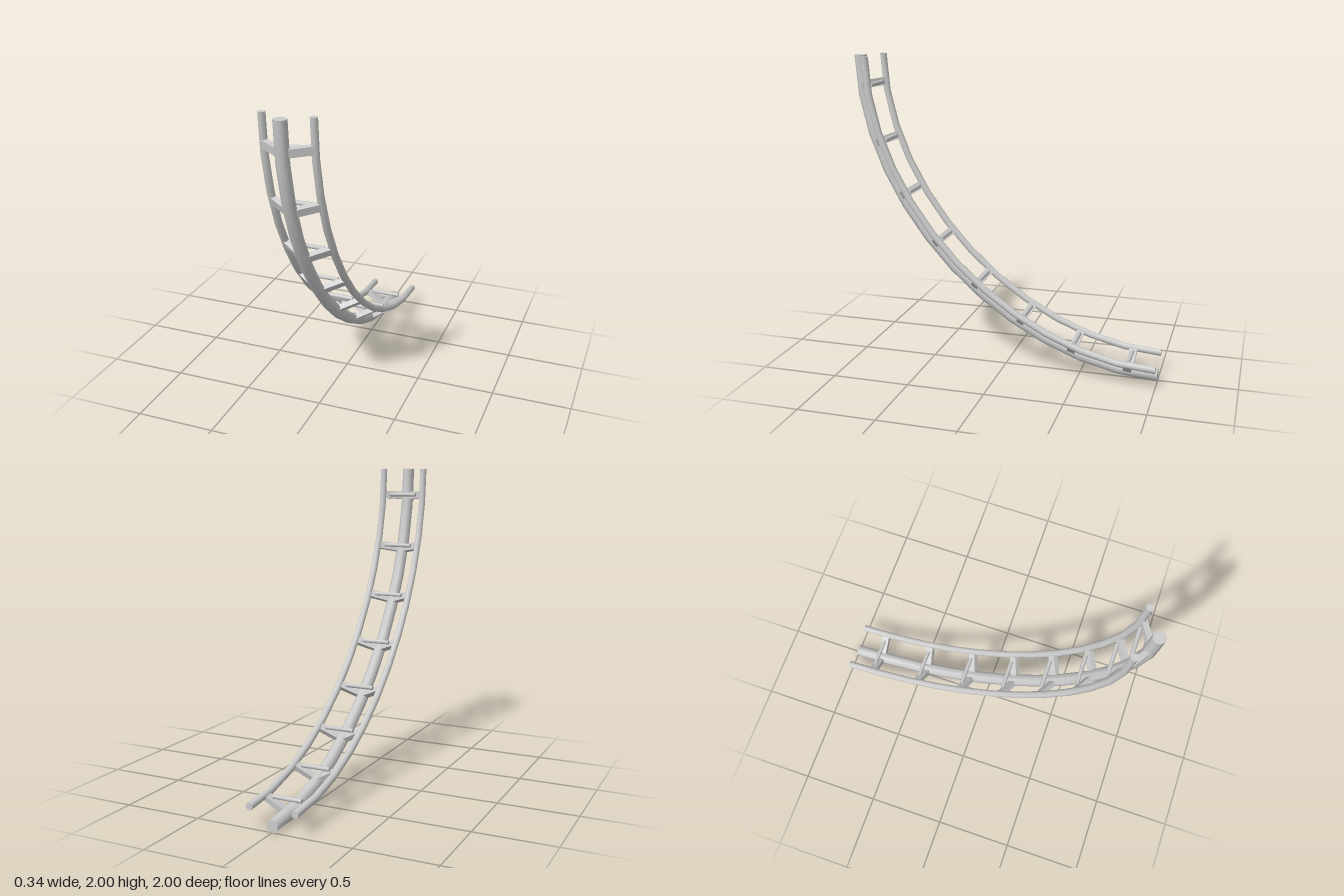
import * as THREE from 'three';

const material = new THREE.MeshStandardMaterial({ color: 0xcccccc });
const SEGMENTS = 12, SIDES = 8, TIES = 8;
const SPINE_RADIUS = 1.964;   // distance of the spine from the bend centre at both ends
const RAIL_X = 0.148, RAIL_RISE = 0.093;

// Quarter bend from the level end (back) to the upright end (front)
const R = SPINE_RADIUS, K = R * 0.5;
const bend = new THREE.CubicBezierCurve3(
  new THREE.Vector3(0, 2 - R, -1),
  new THREE.Vector3(0, 2 - R, -1 + K),
  new THREE.Vector3(0, 2 - K, -1 + R),
  new THREE.Vector3(0, 2, -1 + R)
);

// Position, tangent and inward normal at a fraction of the bend's length
function frameAt(u) {
  const tangent = bend.getTangentAt(u);
  const side = new THREE.Vector3(1, 0, 0);
  const inward = new THREE.Vector3().crossVectors(tangent, side);
  return { point: bend.getPointAt(u), tangent, side, inward };
}

// Capped tube running along the bend, shifted sideways and inward
function trackTube(name, x, rise, radius, turn) {
  const positions = [], index = [];
  const ring = (u) => {
    const f = frameAt(u), start = positions.length / 3;
    for (let j = 0; j < SIDES; j++) {
      const a = turn + (j / SIDES) * Math.PI * 2;
      const p = f.point.clone()
        .addScaledVector(f.side, x + radius * Math.cos(a))
        .addScaledVector(f.inward, rise + radius * Math.sin(a));
      positions.push(p.x, p.y, p.z);
    }
    return start;
  };
  for (let i = 0; i <= SEGMENTS; i++) ring(i / SEGMENTS);
  for (let i = 0; i < SEGMENTS; i++) {
    for (let j = 0; j < SIDES; j++) {
      const a = i * SIDES + j, b = i * SIDES + (j + 1) % SIDES;
      index.push(a, a + SIDES, b, b, a + SIDES, b + SIDES);
    }
  }
  // Flat end caps with their own vertices
  const first = ring(0), last = ring(1);
  for (let j = 1; j < SIDES - 1; j++) {
    index.push(first, first + j, first + j + 1);
    index.push(last, last + j + 1, last + j);
  }
  const geometry = new THREE.BufferGeometry();
  geometry.setAttribute('position', new THREE.Float32BufferAttribute(positions, 3));
  // Side, inward and tangent axes are left-handed, so turn the faces outward
  const side = frameAt(0.5);
  const handed = new THREE.Vector3().crossVectors(side.side, side.inward).dot(side.tangent);
  if (handed > 0) {
    for (let i = 0; i < index.length; i += 3) {
      [index[i + 1], index[i + 2]] = [index[i + 2], index[i + 1]];
    }
  }
  geometry.setIndex(index);
  geometry.computeVertexNormals();
  const mesh = new THREE.Mesh(geometry, material);
  mesh.name = name;
  return mesh;
}

// Tie: two slanted arms from spine to rails and a round cross rod on top
function makeTie(u) {
  const tie = new THREE.Group();
  tie.name = 'tie';
  const length = Math.hypot(RAIL_X, RAIL_RISE);
  for (const s of [-1, 1]) {
    const arm = new THREE.Mesh(new THREE.BoxGeometry(length, 0.033, 0.05), material);
    arm.name = s > 0 ? 'leftArm' : 'rightArm';
    arm.position.set(s * RAIL_X / 2, RAIL_RISE / 2, 0);
    arm.rotation.z = s * Math.atan2(RAIL_RISE, RAIL_X);
    tie.add(arm);
  }
  const rod = new THREE.Mesh(new THREE.CylinderGeometry(0.0135, 0.0135, 0.19, 8), material);
  rod.name = 'crossRod';
  rod.rotation.z = Math.PI / 2;
  rod.position.y = RAIL_RISE;
  tie.add(rod);

  const f = frameAt(u);
  const along = new THREE.Vector3().crossVectors(f.side, f.inward);
  tie.quaternion.setFromRotationMatrix(new THREE.Matrix4().makeBasis(f.side, f.inward, along));
  tie.position.copy(f.point);
  return tie;
}

export function createModel() {
  const model = new THREE.Group();
  model.name = 'curvedTrack';
  model.add(trackTube('spine', 0, 0, 0.039, Math.PI / SIDES));
  model.add(trackTube('leftRail', RAIL_X, RAIL_RISE, 0.023, 0));
  model.add(trackTube('rightRail', -RAIL_X, RAIL_RISE, 0.023, 0));
  for (let i = 0; i < TIES; i++) model.add(makeTie((i + 0.5) / TIES));
  return model;
}
